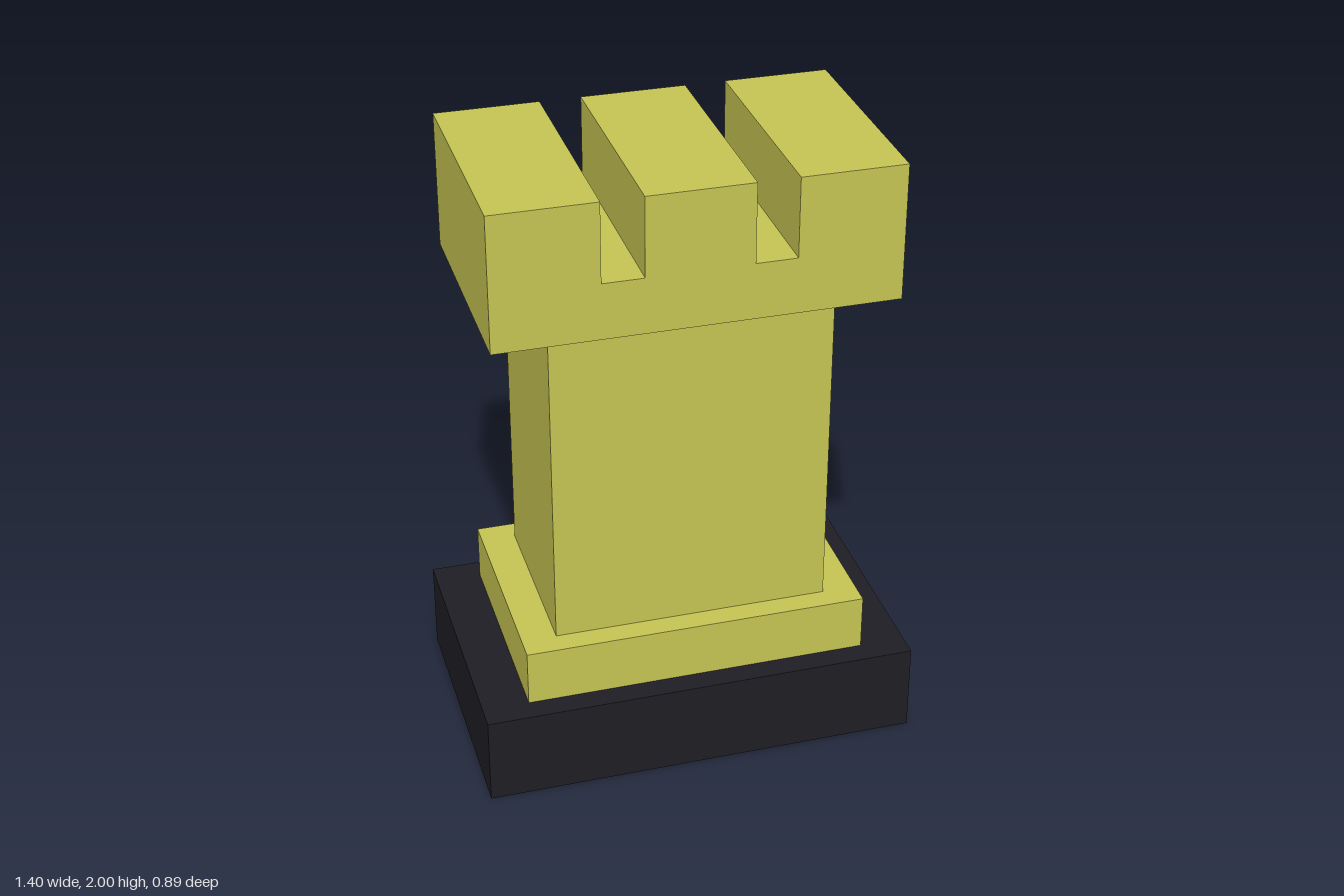
import * as THREE from 'three';

export function createModel() {
  const model = new THREE.Group();
  model.name = 'rookTower';
  const yellow = new THREE.MeshStandardMaterial({ color: 0xc6c553 });
  const black = new THREE.MeshStandardMaterial({ color: 0x1f1e24 });

  const add = (name, geometry, material) => {
    const mesh = new THREE.Mesh(geometry, material);
    mesh.name = name;
    model.add(mesh);
    return mesh;
  };

  // Block given by its half width, half depth, bottom and top
  const block = (name, hx, hz, y0, y1, material) => {
    add(name, new THREE.BoxGeometry(hx * 2, y1 - y0, hz * 2), material).position.y = (y0 + y1) / 2;
  };

  // Stacked blocks of the tower
  block('base', 0.702, 0.443, 0, 0.295, black);
  block('plinth', 0.554, 0.369, 0.295, 0.48, yellow);
  block('shaft', 0.443, 0.295, 0.48, 1.56, yellow);

  // Battlement: notched outline extruded from front to back
  const w = 0.628, depth = 0.738, bottom = 1.56, notch = 1.742, top = 2;
  const inner = 0.167, outer = 0.297;
  const half = [[w, bottom], [w, top], [outer, top], [outer, notch], [inner, notch], [inner, top]];
  const mirrored = half.map(([x, y]) => [-x, y]).reverse();
  const outline = new THREE.Shape([...half, ...mirrored].map(([x, y]) => new THREE.Vector2(x, y)));
  const head = new THREE.ExtrudeGeometry(outline, { depth, bevelEnabled: false });
  head.translate(0, 0, -depth / 2);
  add('battlement', head, yellow);

  return model;
}
